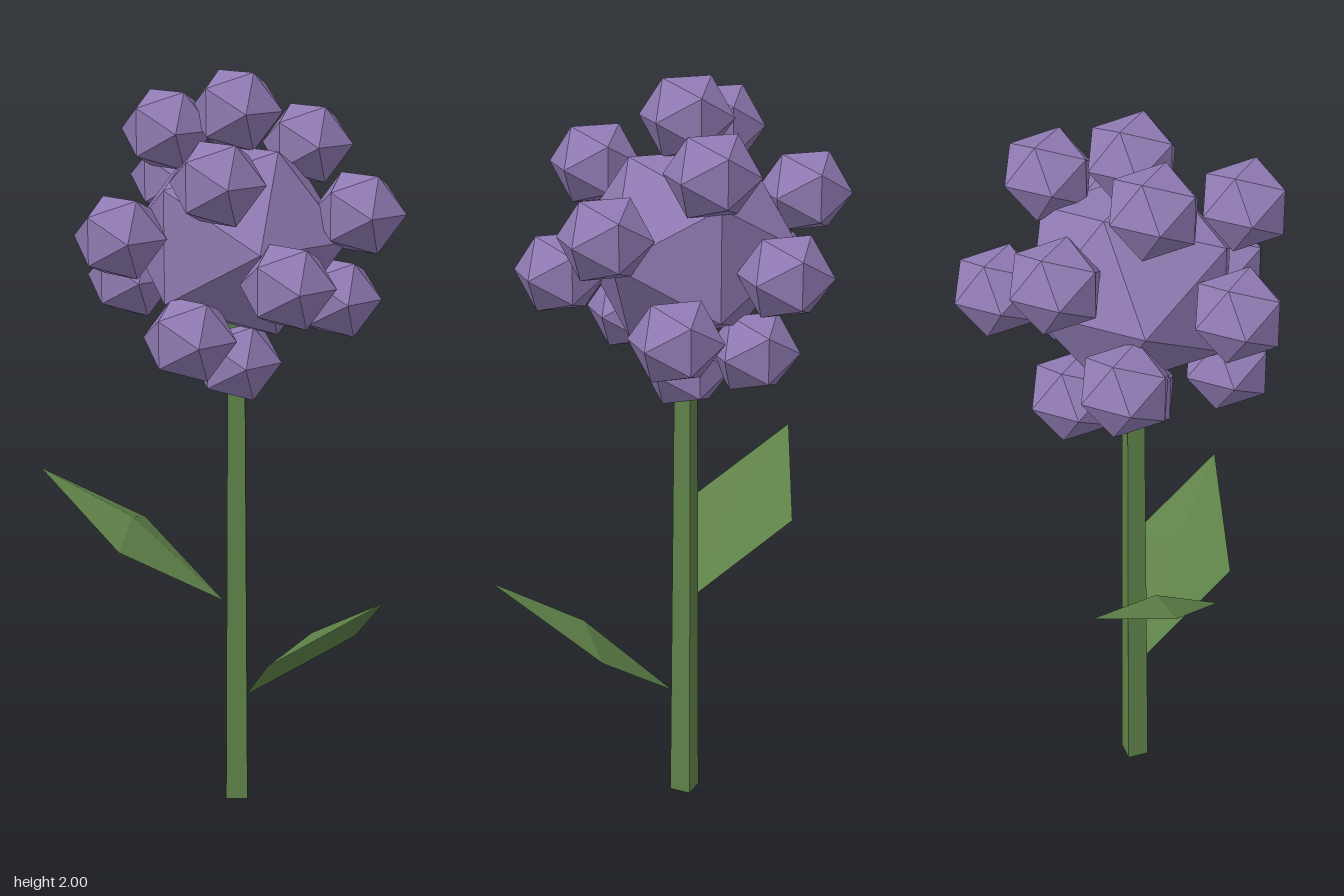
import * as THREE from 'three';

export function createModel() {
  const purple = new THREE.MeshStandardMaterial({ color: 0x8f7ab2, flatShading: true });
  purple.name = 'petal purple';
  const green = new THREE.MeshStandardMaterial({ color: 0x5f8249, flatShading: true, side: THREE.DoubleSide });
  green.name = 'leaf green';

  const model = new THREE.Group();
  model.name = 'flower';
  const plant = new THREE.Group();
  plant.name = 'plant';
  plant.position.set(-0.056, 0, -0.012);
  model.add(plant);

  function add(parent, name, geometry, material) {
    const mesh = new THREE.Mesh(geometry, material);
    mesh.name = name;
    parent.add(mesh);
    return mesh;
  }

  // Square tapering stem, corners on the axes
  const stemHeight = 1.4;
  add(plant, 'stem', new THREE.CylinderGeometry(0.031, 0.042, stemHeight, 4), green)
    .position.y = stemHeight / 2;

  // Leaf: diamond outline with its middle raised, pointing along +x
  function leaf(name, baseY, rise, angle) {
    const inner = 0.036, outer = 0.542, halfWidth = 0.165;
    const midX = (inner + outer) / 2;
    const geometry = new THREE.BufferGeometry();
    geometry.setAttribute('position', new THREE.Float32BufferAttribute([
      inner, 0, 0,
      midX, rise / 2, halfWidth,
      outer, rise, 0,
      midX, rise / 2, -halfWidth,
      midX, rise / 2 + 0.052, 0,
    ], 3));
    geometry.setIndex([0, 1, 4, 1, 2, 4, 2, 3, 4, 3, 0, 4]);
    const flat = geometry.toNonIndexed();
    flat.computeVertexNormals();
    const mesh = add(plant, name, flat, green);
    mesh.position.y = baseY;
    mesh.rotation.y = angle;
  }
  leaf('lowerLeaf', 0.308, 0.4, 0);
  leaf('upperLeaf', 0.572, 0.355, Math.PI + Math.atan2(0.6, 0.8));

  // Flower head: a large core ringed by small florets
  const head = new THREE.Group();
  head.name = 'flowerHead';
  head.position.y = 1.575;
  plant.add(head);

  const squash = 0.94;
  add(head, 'core', new THREE.IcosahedronGeometry(0.294, 0), purple).scale.y = squash;

  // Florets spread over a sphere by the golden angle
  const count = 14, spread = 0.333, spreadY = 0.327;
  const goldenAngle = Math.PI * (3 - Math.sqrt(5));
  const floretGeometry = new THREE.IcosahedronGeometry(0.1234, 0);
  for (let i = 0; i < count; i++) {
    const y = 1 - (2 * i) / (count - 1);
    const r = Math.sqrt(Math.max(0, 1 - y * y)) * spread;
    const a = i * goldenAngle;
    const floret = add(head, 'floret' + (i + 1), floretGeometry, purple);
    floret.position.set(r * Math.cos(a), y * spreadY, r * Math.sin(a));
    floret.scale.y = squash;
  }
  return model;
}
